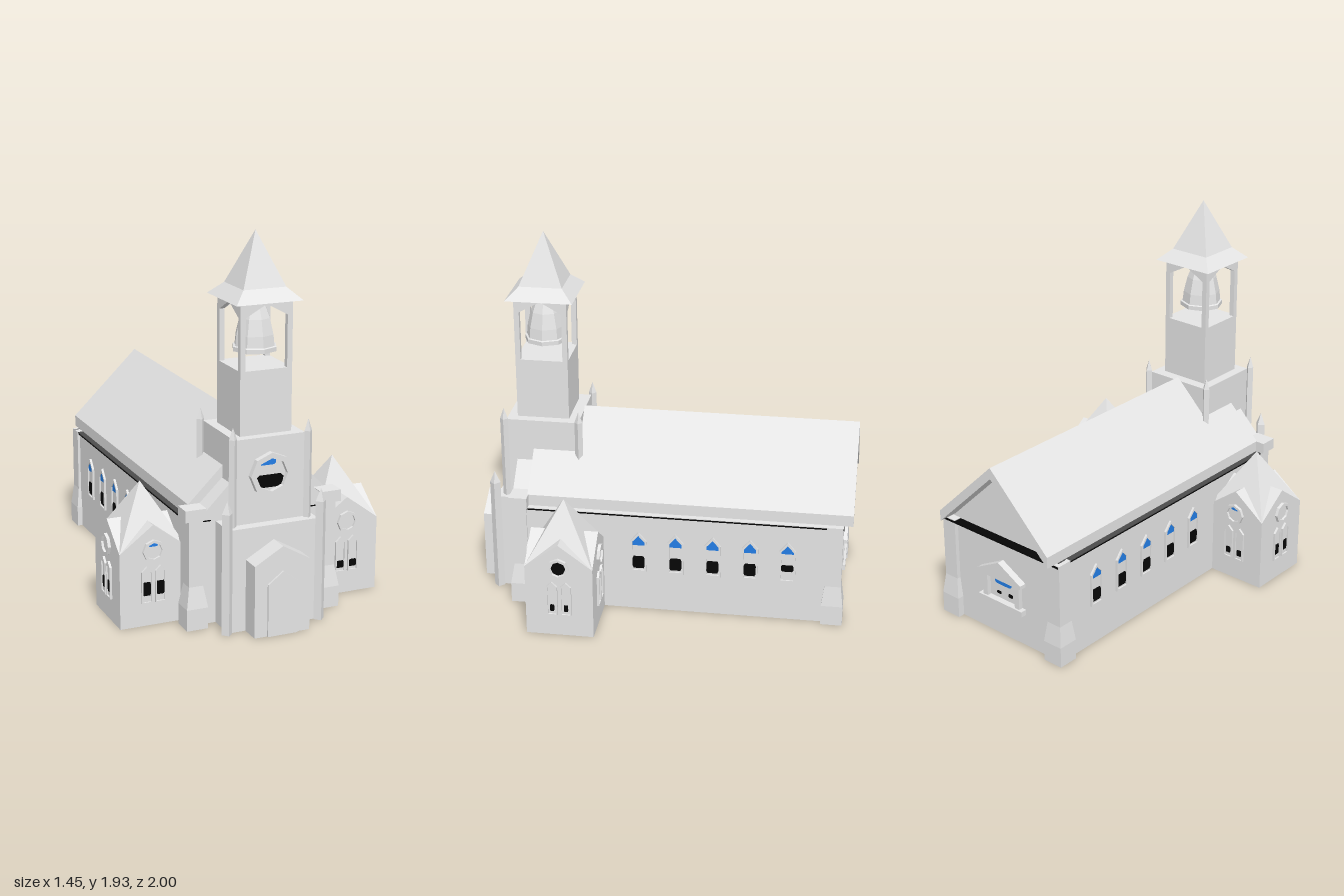
import * as THREE from 'three';

const mat = (name, color, side = THREE.FrontSide) => {
  const m = new THREE.MeshStandardMaterial({ color, side });
  m.name = name;
  return m;
};

export function createModel() {
  const stone = mat('stone', 0xe5e5e5, THREE.DoubleSide);
  const blue = mat('blue glass', 0x2480ea);
  const black = mat('black', 0x060606);
  const slate = mat('dark slate', 0x4c4c4c);
  const root = new THREE.Group();
  root.name = 'church';

  const add = (name, geo, x = 0, y = 0, z = 0, m = stone, parent = root) => {
    const mesh = new THREE.Mesh(geo, m);
    mesh.name = name;
    mesh.position.set(x, y, z);
    parent.add(mesh);
    return mesh;
  };
  // Box given by its limits
  const block = (name, x0, x1, y0, y1, z0, z1, m = stone, parent = root) =>
    add(name, new THREE.BoxGeometry(x1 - x0, y1 - y0, z1 - z0),
      (x0 + x1) / 2, (y0 + y1) / 2, (z0 + z1) / 2, m, parent);
  // Hollow box: the floor (and optionally the top) is left out
  const shell = (name, x0, x1, y0, y1, z0, z1, top) => {
    const mesh = block(name, x0, x1, y0, y1, z0, z1);
    const index = Array.from(mesh.geometry.index.array);
    mesh.geometry.setIndex(index.filter((_, i) => i < (top ? 18 : 12) || i >= 24));
    mesh.geometry.clearGroups();
  };
  const flat = (g) => {
    const f = g.toNonIndexed();
    f.computeVertexNormals();
    return f;
  };
  const poly = (pts) => new THREE.Shape(pts.map(([x, y]) => new THREE.Vector2(x, y)));
  const extrude = (shape, depth) => new THREE.ExtrudeGeometry(shape, { depth, bevelEnabled: false });
  // Square-plan frustum standing on y = 0, half widths a (bottom) and b (top)
  const frustum = (a, b, h) => flat(new THREE.CylinderGeometry(b * Math.SQRT2, a * Math.SQRT2, h, 4)
    .rotateY(Math.PI / 4).translate(0, h / 2, 0));
  // House-shaped outline: half width w, base y0, eaves y1, peak y2
  const house = (w, y0, y1, y2) => [[-w, y0], [w, y0], [w, y1], [0, y2], [-w, y1]];
  const octagon = (r) => Array.from({ length: 8 }, (_, i) =>
    [r * Math.cos(i * Math.PI / 4), r * Math.sin(i * Math.PI / 4)]);
  // Patch with clipped corners, half size a by b
  const patch = (x, y, a, b) => [[-0.8, -1], [0.8, -1], [1, -0.6], [1, 0.6], [0.8, 1], [-0.8, 1], [-1, 0.6], [-1, -0.6]]
    .map(([u, v]) => [x + u * a, y + v * b]);
  const frameGeo = (outer, inner, depth) => {
    const s = poly(outer);
    s.holes.push(poly(inner));
    return extrude(s, depth);
  };
  const place = (name, x, y, z, turn) => {
    const g = new THREE.Group();
    g.name = name;
    g.position.set(x, y, z);
    g.rotation.y = turn;
    root.add(g);
    return g;
  };
  const glass = (pts, m, parent) => add(m.name, extrude(poly(pts), 0.004), 0, 0, 0.003, m, parent);

  // Pointed window facing local +z; dark = [half width, low, high], blueFrom = start of the blue tip
  const lancet = (x, z, turn, w, y0, y1, y2, dark, blueFrom) => {
    const g = place('pointedWindow', x, 0, z, turn);
    const t = w * 0.24, inner = house(w - t, y0 + t, y1 - 0.004, y2 - 0.018);
    add('windowFrame', frameGeo(house(w, y0, y1, y2), inner, 0.012), 0, 0, 0, stone, g);
    add('pane', extrude(poly(inner), 0.004), 0, 0, 0, stone, g);
    if (dark) glass(patch(0, (dark[1] + dark[2]) / 2, dark[0], (dark[2] - dark[1]) / 2), black, g);
    if (blueFrom) glass(house(w - t, blueFrom, y1 - 0.004, y2 - 0.018), blue, g);
  };

  // Eight-sided window with painted patches [points, material]
  const roundWindow = (x, y, z, turn, r, depth, patches) => {
    const g = place('roundWindow', x, y, z, turn);
    add('roundFrame', frameGeo(octagon(r), octagon(r * 0.75), depth), 0, 0, 0, stone, g);
    add('roundPane', extrude(poly(octagon(r * 0.75)), 0.004), 0, 0, 0, stone, g);
    for (const [pts, m] of patches) glass(pts, m, g);
  };

  // Nave: hollow walls, black ceiling, ledges, gables and roof slab
  shell('naveWalls', -0.388, 0.388, 0, 0.546, -0.93, 0.73, false);
  block('ceiling', -0.397, 0.397, 0.546, 0.556, -0.955, 0.738, black);
  block('rightLedge', 0.36, 0.4, 0.556, 0.56, -0.93, 0.73);
  block('leftLedge', -0.4, -0.36, 0.556, 0.56, -0.93, 0.73, slate);
  add('gableWall', extrude(poly([[-0.37, 0.557], [0.37, 0.557], [0, 0.917]]), 1.36), 0, 0, -0.91);
  add('gableFront', extrude(poly([[-0.36, 0.56], [0.36, 0.56], [0.18, 0.74], [-0.18, 0.74]]), 0.28), 0, 0, 0.5);
  add('naveRoof', extrude(poly([[0.37, 0.56], [0.37, 0.62], [0, 0.98], [-0.37, 0.62], [-0.37, 0.56], [0, 0.92]]), 1.45), 0, 0, -1);

  const chapelBlue = [patch(0, 0.03, 0.022, 0.008), blue];
  const chapelBlack = [octagon(0.037), black];
  for (const s of [1, -1]) {
    // Roof wings running on beside the tower
    add('roofWing', extrude(poly([[0.37, 0.56], [0.37, 0.62], [0.17, 0.815], [0.17, 0.755]]
      .map(([x, y]) => [s * x, y])), 0.24), 0, 0, 0.45);
    block('eaveCap', s * 0.365 - 0.055, s * 0.365 + 0.055, 0.56, 0.62, 0.685, 0.78);
    block('frontSeam', s * 0.305 - 0.035, s * 0.305 + 0.035, 0.537, 0.556, 0.73, 0.739, black);

    // Corner buttresses with flared feet
    for (const [z, top] of [[0.73, 0.037], [-0.91, 0.042]]) {
      add('buttressFoot', frustum(0.056, 0.056, 0.11), s * 0.36, 0, z);
      add('buttressFlare', frustum(0.056, top, 0.11), s * 0.36, 0.11, z);
      add('buttressShaft', frustum(top, top, 0.34), s * 0.36, 0.22, z);
    }

    // Side windows
    for (let i = 0; i < 5; i++) {
      const last = s > 0 && i === 4;
      lancet(s * 0.388, 0.103 - i * 0.194, s * Math.PI / 2, 0.042, 0.225, 0.405, 0.455,
        last ? [0.032, 0.285, 0.322] : [0.032, 0.245, 0.315], last ? 0.388 : 0.38);
    }

    // Side chapel: hollow walls, crossing gables and a pyramid spire
    const cx = s * 0.533, cz = 0.463, h = 0.175;
    shell('chapelWalls', cx - h, cx + h, 0, 0.39, cz - h, cz + h, false);
    for (const turn of [0, Math.PI / 2]) {
      const geo = extrude(poly([[-h, 0.39], [h, 0.39], [0, 0.52]]), 2 * h).translate(0, 0, -h);
      add('chapelGables', geo.rotateY(turn), cx, 0, cz);
    }
    add('chapelSpire', frustum(h, 0, 0.305), cx, 0.39, cz);
    // Chapel windows per side: turn, dark part of the lancets, patches of the round window
    const sides = s > 0
      ? [[0, [0.021, 0.142, 0.18], []], [Math.PI, null, []], [Math.PI / 2, [0.011, 0.142, 0.18], [chapelBlack]]]
      : [[0, [0.021, 0.16, 0.23], [chapelBlue]], [Math.PI, [0.014, 0.145, 0.18], [chapelBlue]], [-Math.PI / 2, [0.018, 0.15, 0.21], []]];
    for (const [turn, dark, patches] of sides) {
      const nx = Math.sin(turn), nz = Math.cos(turn);
      for (const o of [-0.036, 0.036])
        lancet(cx + nx * h + nz * o, cz + nz * h - nx * o, turn, 0.028, 0.12, 0.285, 0.312, dark);
      roundWindow(cx + nx * h, 0.39, cz + nz * h, turn, 0.057, 0.016, patches);
    }

    // Diamond pinnacles: x, z, radius, bottom, shoulder, tip
    for (const [x, z, r, y0, y1, y2] of [
      [0.2, 0.84, 0.021, 0.53, 0.97, 1.03], [0.2, 0.445, 0.021, 0.76, 0.97, 1.03], [0.25, 0.89, 0.028, 0, 0.62, 0.685]]) {
      add('pinnacleShaft', flat(new THREE.CylinderGeometry(r, r, y1 - y0, 4)), s * x, (y0 + y1) / 2, z);
      add('pinnacleTip', flat(new THREE.ConeGeometry(r, y2 - y1, 4)), s * x, (y1 + y2) / 2, z);
    }
  }

  // Tower base, porch and door
  shell('towerBase', -0.24, 0.24, 0, 0.53, 0.72, 0.885, true);
  add('porch', extrude(poly(house(0.148, 0, 0.37, 0.455)), 0.11), 0, 0, 0.88);
  add('door', extrude(poly(house(0.08, 0, 0.27, 0.33)), 0.02), 0, 0, 0.98);

  // Tower body, round window and belfry
  block('towerBody', -0.187, 0.187, 0.53, 0.96, 0.45, 0.83);
  roundWindow(0, 0.775, 0.83, 0, 0.112, 0.03, [
    [patch(0, -0.037, 0.07, 0.032), black], [patch(-0.013, 0.065, 0.042, 0.02), blue]]);
  const tz = 0.644, b = 0.137;
  block('belfryBase', -b, b, 0.96, 1.28, tz - b, tz + b);
  for (let i = 0; i < 4; i++) {
    const arch = poly([[-b, 1.28], [-0.11, 1.28], [-0.11, 1.54], [0, 1.6], [0.11, 1.54],
      [0.11, 1.28], [b, 1.28], [b, 1.61], [-b, 1.61]]);
    add('belfryArch', extrude(arch, 0.027).translate(0, 0, b - 0.027).rotateY(i * Math.PI / 2), 0, 0, tz);
  }
  add('spireSkirt', frustum(0.175, 0.112, 0.06), 0, 1.61, tz);
  add('spire', frustum(0.112, 0, 0.265), 0, 1.67, tz);

  // Bell
  const profile = [[0, 1.35], [0.113, 1.35], [0.113, 1.372], [0.103, 1.375], [0.097, 1.43],
    [0.078, 1.51], [0.05, 1.58], [0, 1.61]].map(([x, y]) => new THREE.Vector2(x, y));
  add('bell', flat(new THREE.LatheGeometry(profile, 8)), 0, 0, tz);

  // Rear window with pediment and sill
  const rear = place('rearWindow', 0, 0, -0.93, Math.PI);
  add('pediment', extrude(poly([[-0.15, 0.34], [0.15, 0.34], [0.15, 0.36], [0, 0.44], [-0.15, 0.36]]), 0.038), 0, 0, 0, stone, rear);
  block('sill', -0.15, 0.15, 0.18, 0.21, 0, 0.034, stone, rear);
  for (const s of [1, -1]) block('jamb', s * 0.11 - 0.015, s * 0.11 + 0.015, 0.21, 0.34, 0, 0.024, stone, rear);
  glass(patch(0, 0.31, 0.055, 0.016), blue, rear);
  glass(patch(0.05, 0.25, 0.014, 0.009), black, rear);
  glass(patch(-0.03, 0.245, 0.014, 0.007), black, rear);

  return root;
}
